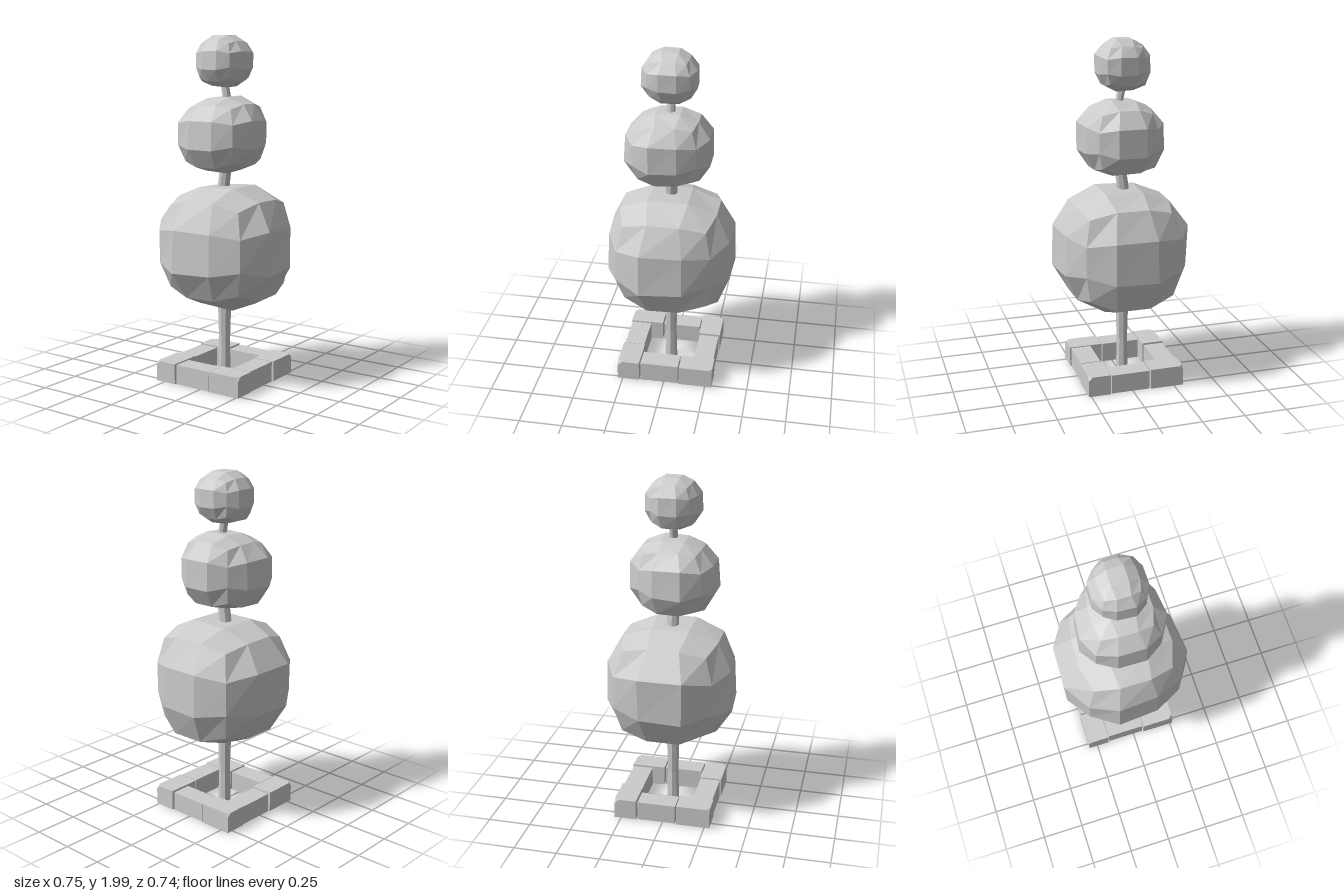
import * as THREE from 'three';
import { ConvexGeometry } from 'three/addons/geometries/ConvexGeometry.js';

const material = new THREE.MeshStandardMaterial({ color: 0xcccccc, flatShading: true });

function add(parent, name, geometry) {
  const mesh = new THREE.Mesh(geometry, material);
  mesh.name = name;
  parent.add(mesh);
  return mesh;
}

// Repeatable value in -1..1 from a position, so shared corners move together
function wobble(v) {
  const s = Math.sin(Math.round(v.x * 50) * 12.99 + Math.round(v.y * 50) * 78.23
    + Math.round(v.z * 50) * 37.72) * 43758.5453;
  return 2 * (s - Math.floor(s)) - 1;
}

// Radius of a closed outline [u, v, u, v, ...] around (cu, cv), as a function of angle
function radiusByAngle(outline, cu, cv) {
  const points = [];
  for (let i = 0; i < outline.length; i += 2) {
    const u = outline[i] - cu;
    const v = outline[i + 1] - cv;
    points.push({ angle: Math.atan2(v, u), r: Math.hypot(u, v) });
  }
  points.sort((p, q) => p.angle - q.angle);
  const first = points[0];
  const last = points[points.length - 1];
  points.unshift({ angle: last.angle - 2 * Math.PI, r: last.r });
  points.push({ angle: first.angle + 2 * Math.PI, r: first.r });
  return (angle) => {
    const i = points.findIndex((p) => p.angle > angle);
    const [p, q] = [points[i - 1], points[i]];
    return p.r + (q.r - p.r) * (angle - p.angle) / (q.angle - p.angle);
  };
}

// Clipped foliage: a 3x3 cube sphere whose radius blends its outlines in xy, zy and xz
function foliageBall([cx, cy, cz], xy, zy, xz) {
  const front = radiusByAngle(xy, cx, cy);
  const side = radiusByAngle(zy, cz, cy);
  const top = radiusByAngle(xz, cx, cz);
  const geometry = new THREE.BoxGeometry(2, 2, 2, 3, 3, 3);
  const pos = geometry.attributes.position;
  const v = new THREE.Vector3();
  for (let i = 0; i < pos.count; i++) {
    v.fromBufferAttribute(pos, i).normalize();
    let sum = 0;
    let total = 0;
    for (const [radius, a, b, off] of [[front, v.x, v.y, v.z], [side, v.z, v.y, v.x], [top, v.x, v.z, v.y]]) {
      const near = 1 - off * off;
      const weight = near ** 4;
      sum += weight * radius(Math.atan2(b, a)) * Math.min(1 / Math.sqrt(near), 1.04);
      total += weight;
    }
    v.multiplyScalar(sum / total * (1 + 0.012 * wobble(v)));
    pos.setXYZ(i, cx + v.x, cy + v.y, cz + v.z);
  }
  geometry.computeVertexNormals();
  return geometry;
}

// Leaning eight-sided stem through stations [y, x, radius]
function stem(stations) {
  const rows = stations.length - 1;
  const geometry = new THREE.CylinderGeometry(1, 1, 1, 8, rows);
  const pos = geometry.attributes.position;
  for (let i = 0; i < pos.count; i++) {
    const [y, x, r] = stations[Math.round((pos.getY(i) + 0.5) * rows)];
    pos.setXYZ(i, x + pos.getX(i) * r, y, pos.getZ(i) * r);
  }
  geometry.computeVertexNormals();
  return geometry;
}

// Rough brick; a chipped one loses its outer top corner (low x, high z)
function brick(x0, x1, z0, z1, height, chip) {
  const points = [];
  for (const x of [x0, x1]) for (const z of [z0, z1]) for (const y of [0, height]) {
    if (chip && x === x0 && z === z1 && y > 0) {
      points.push(new THREE.Vector3(x + chip, y, z), new THREE.Vector3(x, y - chip, z),
        new THREE.Vector3(x, y, z - chip));
    } else {
      points.push(new THREE.Vector3(x, y, z));
    }
  }
  return new ConvexGeometry(points);
}

export function createModel() {
  const model = new THREE.Group();
  model.name = 'topiaryTree';

  // Square border of eight bricks laid in a pinwheel
  const border = new THREE.Group();
  border.name = 'brickBorder';
  border.position.set(-0.02, 0, -0.005);
  for (let i = 0; i < 4; i++) {
    const side = new THREE.Group();
    side.name = 'borderSide';
    side.rotation.y = i * Math.PI / 2;
    add(side, 'cornerBrick', brick(-0.285, -0.155, 0.087, 0.285, 0.119, 0.022 + 0.004 * (i % 2)));
    add(side, 'middleBrick', brick(-0.278, -0.16, -0.147, 0.079, 0.112 + 0.003 * (i % 3), 0));
    border.add(side);
  }
  model.add(border);

  // Trunk, running up through all the foliage
  add(model, 'trunk', stem([
    [0, -0.018, 0.038], [0.2, -0.018, 0.032], [0.43, -0.018, 0.039], [0.8, -0.03, 0.038],
    [1.13, -0.025, 0.035], [1.26, -0.008, 0.034], [1.45, 0, 0.03], [1.64, 0, 0.024],
    [1.73, -0.018, 0.024], [1.85, -0.02, 0.02],
  ]));

  // Three foliage balls, smaller towards the top
  add(model, 'lowerFoliage', foliageBall([0, 0.8, 0],
    [-0.27, 1.075, -0.1, 1.14, 0.08, 1.153, 0.267, 1.095, 0.37, 0.895, 0.395, 0.705,
      0.267, 0.503, 0.09, 0.435, -0.055, 0.45, -0.28, 0.51, -0.385, 0.705, -0.4, 0.9],
    [0.28, 1.085, 0.1, 1.153, -0.095, 1.14, -0.29, 1.08, -0.375, 0.88, -0.36, 0.66, -0.295, 0.49,
      -0.105, 0.44, 0.09, 0.45, 0.24, 0.5, 0.36, 0.645, 0.385, 0.795, 0.345, 0.95],
    [-0.1, -0.38, 0.06, -0.37, 0.26, -0.265, 0.33, -0.11, 0.395, 0.04, 0.27, 0.27, 0.08, 0.335,
      -0.09, 0.38, -0.28, 0.275, -0.4, 0.08, -0.37, -0.1, -0.29, -0.29]));
  add(model, 'middleFoliage', foliageBall([-0.015, 1.445, 0.01],
    [-0.16, 1.61, -0.085, 1.645, 0.01, 1.656, 0.165, 1.61, 0.235, 1.508, 0.24, 1.39,
      0.167, 1.27, 0.01, 1.23, -0.1, 1.237, -0.225, 1.27, -0.278, 1.39, -0.262, 1.508],
    [0.18, 1.6, 0.1, 1.64, -0.03, 1.656, -0.175, 1.61, -0.238, 1.503, -0.233, 1.375,
      -0.185, 1.27, -0.07, 1.24, 0.005, 1.228, 0.21, 1.27, 0.265, 1.38, 0.254, 1.508],
    [-0.09, -0.235, 0.01, -0.245, 0.15, -0.175, 0.19, -0.07, 0.24, 0.045, 0.185, 0.165,
      0.03, 0.257, -0.07, 0.25, -0.205, 0.195, -0.275, 0.05, -0.23, -0.06, -0.17, -0.17]));
  add(model, 'upperFoliage', foliageBall([-0.02, 1.855, 0],
    [-0.135, 1.947, -0.093, 1.984, -0.02, 2, 0.066, 1.973, 0.13, 1.91, 0.135, 1.825,
      0.103, 1.746, 0.01, 1.704, -0.07, 1.715, -0.145, 1.735, -0.177, 1.857],
    [0.138, 1.93, 0.106, 1.973, 0.01, 2, -0.095, 1.968, -0.143, 1.92, -0.153, 1.836,
      -0.12, 1.746, -0.026, 1.704, 0.127, 1.746, 0.164, 1.8, 0.164, 1.9],
    [-0.08, -0.14, 0, -0.155, 0.09, -0.13, 0.13, 0, 0.1, 0.11, 0.025, 0.155,
      -0.07, 0.14, -0.15, 0.1, -0.175, 0.02, -0.13, -0.1]));

  return model;
}
